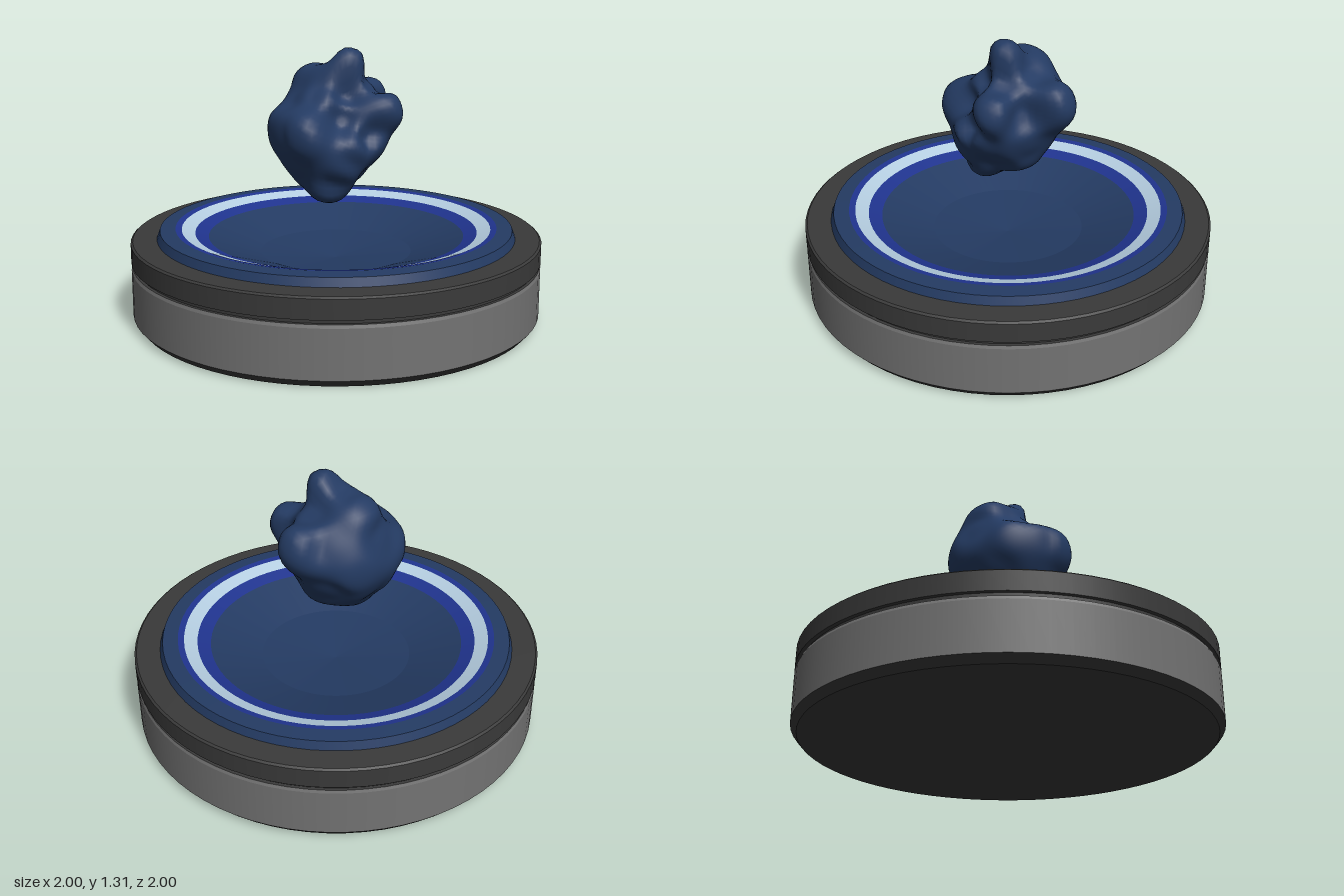
import * as THREE from 'three';
import { mergeGeometries, mergeVertices } from 'three/addons/utils/BufferGeometryUtils.js';

const material = (name, color) => {
  const m = new THREE.MeshStandardMaterial({ color });
  m.name = name;
  return m;
};

// Turned shape with a sharp edge at every profile point, profile runs bottom -> outside -> top -> centre
function turned(name, profile, mat) {
  const bands = [];
  for (let i = 0; i < profile.length - 1; i++) {
    const pair = [profile[i], profile[i + 1]].map(([r, y]) => new THREE.Vector2(r, y));
    bands.push(new THREE.LatheGeometry(pair, 72));
  }
  const mesh = new THREE.Mesh(mergeGeometries(bands), mat);
  mesh.name = name;
  return mesh;
}

// Lumpy rock: a sphere whose radius is blended between landmark points on the surface
function rockGeometry(center, landmarks) {
  const marks = landmarks.map(p => {
    const v = new THREE.Vector3(...p).sub(center);
    return { radius: v.length(), dir: v.clone().normalize() };
  });
  let geo = new THREE.IcosahedronGeometry(1, 14);
  geo.deleteAttribute('uv');
  geo.deleteAttribute('normal');
  geo = mergeVertices(geo, 1e-4);
  const pos = geo.attributes.position;
  const v = new THREE.Vector3();
  for (let i = 0; i < pos.count; i++) {
    v.fromBufferAttribute(pos, i).normalize();
    let sum = 0, total = 0;
    for (const m of marks) {
      const w = 1 / (v.distanceToSquared(m.dir) + 0.012) ** 2;
      sum += w * m.radius;
      total += w;
    }
    v.multiplyScalar(sum / total).add(center);
    pos.setXYZ(i, v.x, v.y, v.z);
  }
  geo.computeVertexNormals();
  return geo;
}

export function createModel() {
  const group = new THREE.Group();
  const dark = material('charcoal', 0x3a3a3a);
  const grey = material('grey', 0x737373);
  const navy = material('navy', 0x243b63);
  const blue = material('bright blue', 0x20348f);
  const pale = material('pale blue', 0xb6cfe2);

  // Round pedestal
  group.add(
    turned('baseUnderside', [[0, 0], [0.97, 0], [1, 0.035]], dark),
    turned('baseBody', [[1, 0.035], [1, 0.265], [0.995, 0.28]], grey),
    turned('groove', [[0.995, 0.28], [0.98, 0.28], [0.98, 0.3], [1, 0.3]], dark),
    turned('collar', [[1, 0.3], [1, 0.392], [0.99, 0.4], [0.87, 0.4]], dark),
    turned('rim', [[0.875, 0.4], [0.86, 0.44], [0.785, 0.445]], navy),
    turned('outerBlueRing', [[0.785, 0.445], [0.755, 0.44]], blue),
    turned('lightRing', [[0.755, 0.44], [0.69, 0.418]], pale),
    turned('innerBlueRing', [[0.69, 0.418], [0.625, 0.397]], blue),
    turned('bowl', [[0.625, 0.397], [0.37, 0.31], [0, 0.27]], navy),
  );

  // Floating rock
  const landmarks = [
    // horns: top, back, right
    [0.06, 1.31, -0.05], [-0.08, 1.08, -0.34], [0.26, 1.05, -0.18],
    // left shoulder and side
    [-0.18, 1.21, 0.03], [-0.29, 0.92, -0.08], [-0.24, 1.04, 0.08], [-0.19, 1.06, -0.18],
    // sloping front face and its lower edge
    [-0.06, 1.23, 0.0], [-0.05, 1.09, 0.18], [-0.16, 0.91, 0.29], [0.1, 0.92, 0.34], [-0.03, 0.92, 0.33],
    [0.05, 1.1, 0.15],
    // right side bulge
    [0.245, 0.83, 0.08], [0.24, 0.83, -0.06],
    // underside
    [0.08, 0.59, 0.15], [-0.04, 0.62, 0.12], [-0.22, 0.75, 0.05], [0, 0.65, -0.08],
    [0, 0.75, 0.27], [0.17, 0.71, 0.14], [-0.18, 0.75, 0.18], [0.15, 0.74, -0.08],
    // back
    [0.05, 0.83, -0.22], [-0.15, 0.8, -0.17],
    // hollows between the horns
    [0.1, 1.07, 0.03], [0.13, 0.98, 0.08], [-0.02, 1.15, -0.14],
    [0.08, 0.99, -0.19], [0.12, 1.12, -0.1], [0.2, 0.91, 0.0],
  ];
  const rock = new THREE.Mesh(rockGeometry(new THREE.Vector3(0, 0.93, 0), landmarks), navy);
  rock.name = 'floatingRock';
  group.add(rock);
  return group;
}
